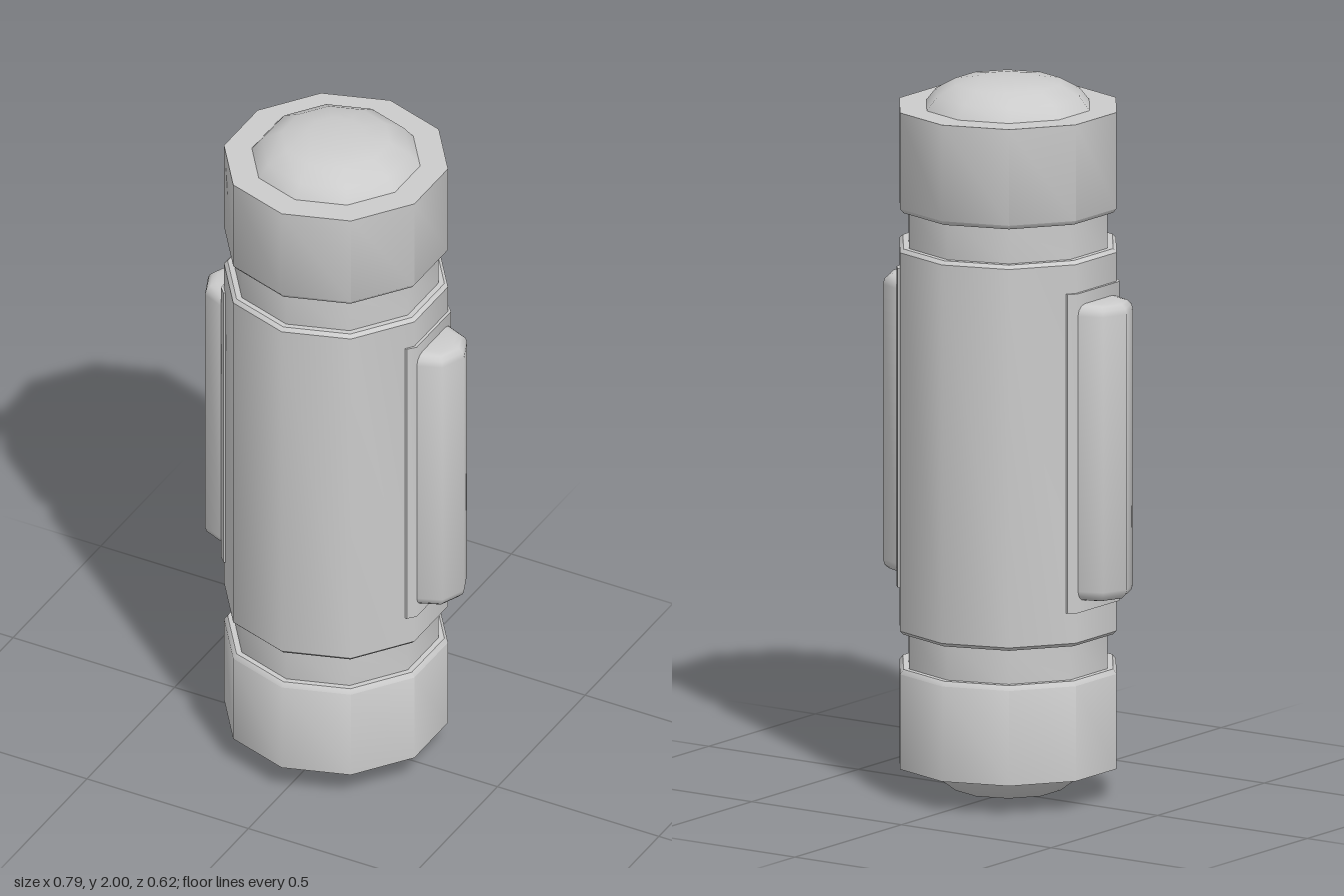
import * as THREE from 'three';
import { toCreasedNormals } from 'three/addons/utils/BufferGeometryUtils.js';

const SIDES = 10;
const CREASE = 0.9;
const v2 = ([x, y]) => new THREE.Vector2(x, y);

export function createModel() {
  const model = new THREE.Group();
  model.name = 'canister';
  const material = new THREE.MeshStandardMaterial({ color: 0xcccccc });

  const add = (name, geometry, crease = CREASE) => {
    const mesh = new THREE.Mesh(toCreasedNormals(geometry, crease), material);
    mesh.name = name;
    model.add(mesh);
    return mesh;
  };
  // Ten-sided turned part, profile listed from bottom to top
  const turned = (name, profile, crease) =>
    add(name, new THREE.LatheGeometry(profile.map(v2), SIDES), crease);
  // Upright prism from an (x, z) section
  const prism = (section, y0, y1, bevel = 0) => {
    const geometry = new THREE.ExtrudeGeometry(new THREE.Shape(section.map(v2)), {
      depth: y1 - y0 - 2 * bevel,
      bevelEnabled: bevel > 0,
      bevelThickness: bevel,
      bevelSize: bevel,
      bevelOffset: -bevel,
      bevelSegments: 3,
    });
    return geometry.rotateX(-Math.PI / 2).translate(0, y0 + bevel, 0);
  };

  // Main barrel, necks and end caps
  turned('barrel', [[0, 0.465], [0.3, 0.465], [0.31, 0.475], [0.31, 1.53], [0.3, 1.54], [0, 1.54]], 0.7);
  turned('lowerNeck', [[0.284, 0.35], [0.284, 0.48]]);
  turned('upperNeck', [[0.284, 1.53], [0.284, 1.66]]);
  turned('lowerCap', [[0, 0.09], [0.31, 0.09], [0.31, 0.355], [0.3, 0.368], [0, 0.368]], 0.7);
  turned('upperCap', [[0, 1.64], [0.3, 1.64], [0.31, 1.652], [0.31, 1.92], [0, 1.92]], 0.7);

  // Domed ends
  turned('topDome', [[0.233, 1.92], [0.205, 1.955], [0.15, 1.986], [0.08, 1.997], [0, 2]]);
  turned('bottomDome', [[0, 0.004], [0.08, 0.009], [0.15, 0.02], [0.19, 0.05], [0.233, 0.09]]);

  // Side plates wrapping the barrel facets, each with a rounded pod
  const plate = [[0.26, -0.117], [0.284, -0.119], [0.303, -0.098], [0.303, 0.098], [0.284, 0.119], [0.26, 0.117]];
  const pod = [[0.24, -0.1], [0.303, -0.097], [0.368, -0.07], [0.397, 0], [0.368, 0.07], [0.303, 0.097], [0.24, 0.1]];
  for (const [side, turn] of [['left', 0], ['right', Math.PI]]) {
    add(side + 'Plate', prism(plate, 0.56, 1.45)).rotation.y = turn;
    add(side + 'Pod', prism(pod, 0.59, 1.417, 0.03)).rotation.y = turn;
  }

  return model;
}
